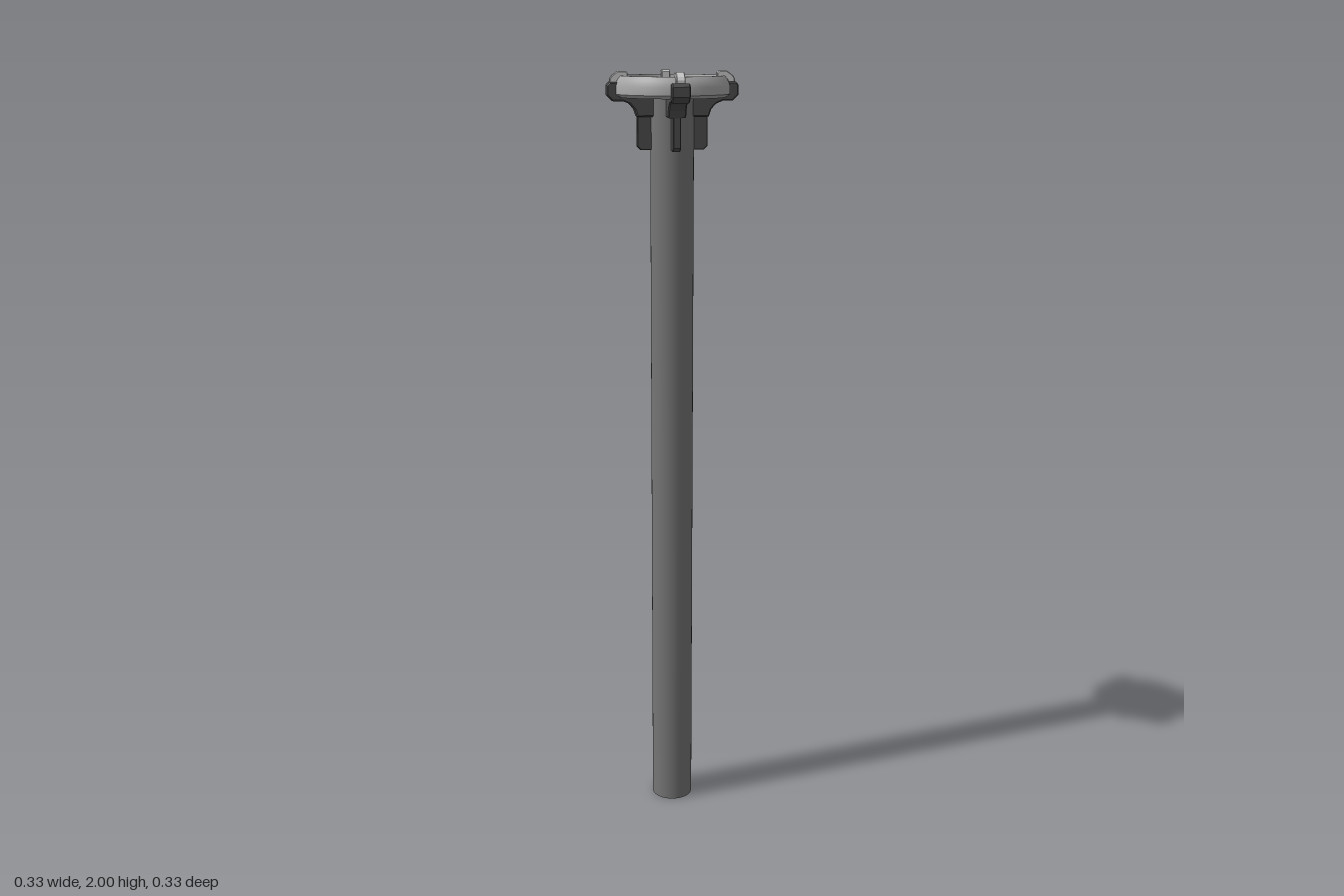
import * as THREE from 'three';
import { toCreasedNormals } from 'three/addons/utils/BufferGeometryUtils.js';

const material = (name, color) => {
  const m = new THREE.MeshStandardMaterial({ color });
  m.name = name;
  return m;
};

// Extrude a profile drawn as (radius, height), centred across its width
function radialPlate(points, width, bevel = 0) {
  const shape = new THREE.Shape(points.map(([r, y]) => new THREE.Vector2(r, y)));
  const depth = width - 2 * bevel;
  const geo = new THREE.ExtrudeGeometry(shape, {
    depth, bevelEnabled: bevel > 0, bevelSize: bevel, bevelOffset: -bevel,
    bevelThickness: bevel, bevelSegments: 1,
  });
  geo.translate(0, 0, -depth / 2);
  return geo;
}

function lathe(points, segments = 48) {
  const geo = new THREE.LatheGeometry(points.map(([r, y]) => new THREE.Vector2(r, y)), segments);
  return toCreasedNormals(geo, 0.5);
}

export function createModel() {
  const model = new THREE.Group();
  model.name = 'poleWithClampedHead';
  const steel = material('midGrey', 0x757575);
  const ringGrey = material('lightGrey', 0xa6a6a6);
  const clipGrey = material('paleGrey', 0xcccccc);
  const dark = material('darkGrey', 0x4c4c4c);

  const add = (name, geo, mat, parent = model) => {
    const mesh = new THREE.Mesh(geo, mat);
    mesh.name = name;
    parent.add(mesh);
    return mesh;
  };

  // Tall plain pole
  const pole = add('pole', new THREE.CylinderGeometry(0.055, 0.055, 1.945, 40), steel);
  pole.position.y = 0.9725;

  // Round plate with a softened rim, set inside the ring
  add('facePlate', lathe([
    [0, 1.94], [0.104, 1.94], [0.104, 1.968], [0.102, 1.973], [0.098, 1.975], [0, 1.975],
  ]), steel);

  // Ring with sloped outer wall and raised lip
  add('rimRing', lathe([
    [0.1, 1.937], [0.135, 1.937], [0.145, 1.945], [0.145, 1.964], [0.139, 1.979],
    [0.131, 1.989], [0.126, 1.989], [0.124, 1.982], [0.109, 1.982], [0.105, 1.978],
    [0.104, 1.96], [0.1, 1.937],
  ]), ringGrey);

  // Bracket arm, lower fin and clip shared by the four sides
  const armGeo = radialPlate([
    [0.045, 1.89], [0.09, 1.89], [0.096, 1.908], [0.108, 1.921], [0.125, 1.928],
    [0.15, 1.928], [0.165, 1.942], [0.165, 1.966], [0.158, 1.974], [0.138, 1.974],
    [0.138, 1.946], [0.045, 1.946],
  ], 0.045, 0.003);
  const finGeo = radialPlate([
    [0.045, 1.808], [0.08, 1.808], [0.089, 1.817], [0.089, 1.9], [0.045, 1.9],
  ], 0.02, 0.002);
  const clipGeo = radialPlate([
    [0.112, 1.975], [0.138, 1.975], [0.138, 1.955], [0.157, 1.955], [0.157, 1.981],
    [0.152, 1.989], [0.137, 2.0], [0.117, 2.0], [0.112, 1.995],
  ], 0.022, 0.002);

  for (let i = 0; i < 4; i++) {
    const bracket = new THREE.Group();
    bracket.name = 'bracket' + (i + 1);
    bracket.rotation.y = i * Math.PI / 2;
    add('bracketArm', armGeo, dark, bracket);
    add('bracketFin', finGeo, dark, bracket);
    add('rimClip', clipGeo, clipGrey, bracket);
    model.add(bracket);
  }
  return model;
}
